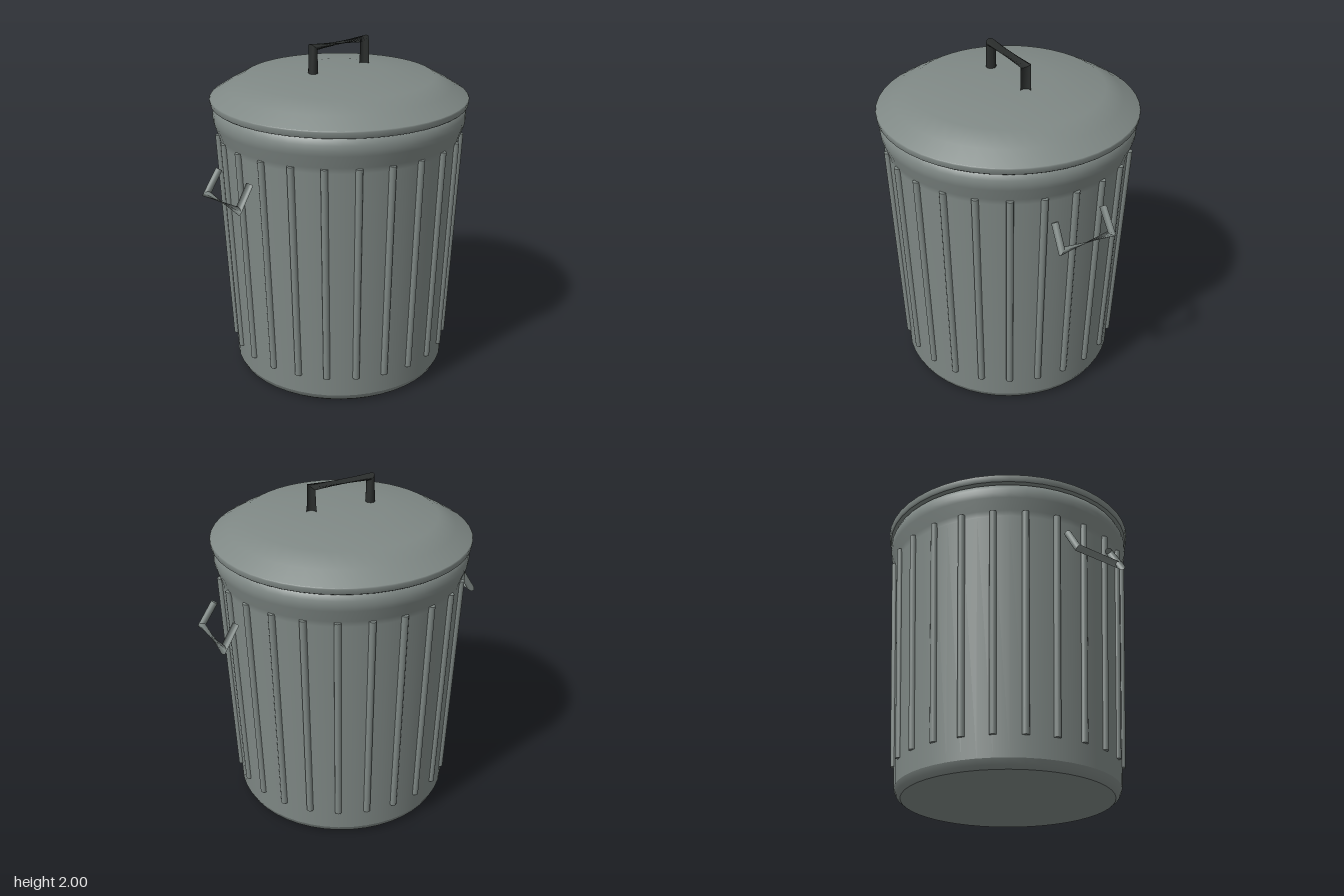
import * as THREE from 'three';

const SIDES = 48;
const RIBS = 24;
const V = (x, y, z) => new THREE.Vector3(x, y, z);

const metal = new THREE.MeshStandardMaterial({ color: 0x7f8885 });
const dark = new THREE.MeshStandardMaterial({ color: 0x2a2d2c });

// Lathe from [radius, height] pairs, bottom to top; a repeated pair makes a sharp edge
function turned(name, profile) {
  const points = profile.map(([r, y]) => new THREE.Vector2(r, y));
  const mesh = new THREE.Mesh(new THREE.LatheGeometry(points, SIDES), metal);
  mesh.name = name;
  return mesh;
}

// Bar swept through stations {p, u, v}: elliptical rings p + u cos + v sin,
// with separate rings per segment so the mitred corners stay sharp
function mitredBar(name, stations, material, sides = 16) {
  const pos = [], index = [];
  const ring = ({ p, u, v }) => {
    const start = pos.length / 3;
    for (let i = 0; i <= sides; i++) {
      const a = (i / sides) * Math.PI * 2;
      const q = p.clone().addScaledVector(u, Math.cos(a)).addScaledVector(v, Math.sin(a));
      pos.push(q.x, q.y, q.z);
    }
    return start;
  };
  // Choose the winding so faces point outward
  const along = stations[1].p.clone().sub(stations[0].p);
  const flip = stations[0].u.clone().cross(stations[0].v).dot(along) < 0;
  const tri = (a, b, c) => (flip ? index.push(a, c, b) : index.push(a, b, c));
  for (let s = 0; s < stations.length - 1; s++) {
    const a = ring(stations[s]), b = ring(stations[s + 1]);
    for (let i = 0; i < sides; i++) {
      tri(a + i, a + i + 1, b + i);
      tri(a + i + 1, b + i + 1, b + i);
    }
  }
  // Flat end caps
  const first = ring(stations[0]), last = ring(stations[stations.length - 1]);
  for (let i = 1; i < sides - 1; i++) {
    tri(first, first + i + 1, first + i);
    tri(last, last + i, last + i + 1);
  }
  const geometry = new THREE.BufferGeometry();
  geometry.setAttribute('position', new THREE.Float32BufferAttribute(pos, 3));
  geometry.setIndex(index);
  geometry.computeVertexNormals();
  const mesh = new THREE.Mesh(geometry, material);
  mesh.name = name;
  return mesh;
}

// Upright ribs following the taper of the wall
function makeRibs() {
  const ribs = new THREE.Group();
  ribs.name = 'ribs';
  const low = V(0.647, 0.17, 0), high = V(0.705, 1.468, 0);
  const dir = high.clone().sub(low);
  const geometry = new THREE.CylinderGeometry(0.02, 0.02, dir.length(), 12);
  geometry.applyQuaternion(new THREE.Quaternion().setFromUnitVectors(V(0, 1, 0), dir.normalize()));
  geometry.translate((low.x + high.x) / 2, (low.y + high.y) / 2, 0);
  for (let i = 0; i < RIBS; i++) {
    const rib = new THREE.Mesh(geometry, metal);
    rib.name = 'rib';
    rib.rotation.y = (i / RIBS) * Math.PI * 2;
    ribs.add(rib);
  }
  return ribs;
}

// Slanted carrying handle on the +x side
function makeSideHandle(name) {
  const r = 0.02;
  const down = V(0.524, -0.852, 0);
  const v = V(0.852, 0.524, 0).multiplyScalar(r);
  const leg = (s) => ({ p: V(0.738, 1.341, s * 0.155), u: V(0, 0, r), v });
  const corner = (s) => ({ p: V(0.822, 1.208, s * 0.162), u: V(0, 0, r).addScaledVector(down, s * r), v });
  return mitredBar(name, [leg(1), corner(1), corner(-1), leg(-1)], metal);
}

export function createModel() {
  const model = new THREE.Group();
  model.name = 'trashCan';

  // Tapered bin with bevelled foot and rolled rim
  model.add(turned('body', [
    [0, 0], [0.605, 0], [0.605, 0], [0.628, 0.018], [0.643, 0.05], [0.643, 0.05],
    [0.7, 1.44], [0.707, 1.475], [0.731, 1.545], [0.735, 1.575], [0.733, 1.605],
    [0.72, 1.635], [0.7, 1.645],
  ]));
  model.add(makeRibs());

  // Domed lid with a thin lip
  model.add(turned('lid', [
    [0, 1.645], [0.738, 1.645], [0.738, 1.645], [0.746, 1.652], [0.75, 1.68], [0.745, 1.686],
    [0.745, 1.686], [0.65, 1.745], [0.55, 1.799], [0.25, 1.833], [0, 1.835],
  ]));

  // Dark grip on the lid: legs taper up to a flattened bar
  const v = V(0, 0, 0.03);
  const foot = (s) => ({ p: V(s * 0.188, 1.82, 0), u: V(0.028, 0, 0), v });
  const corner = (s) => ({ p: V(s * 0.187, 1.9815, 0), u: V(0.02, s * 0.0185, 0), v });
  model.add(mitredBar('lidHandle', [foot(-1), corner(-1), corner(1), foot(1)], dark));

  // Side handles, one turned half round for the other side
  const left = makeSideHandle('leftHandle');
  const right = makeSideHandle('rightHandle');
  right.rotation.y = Math.PI;
  model.add(left, right);

  return model;
}
